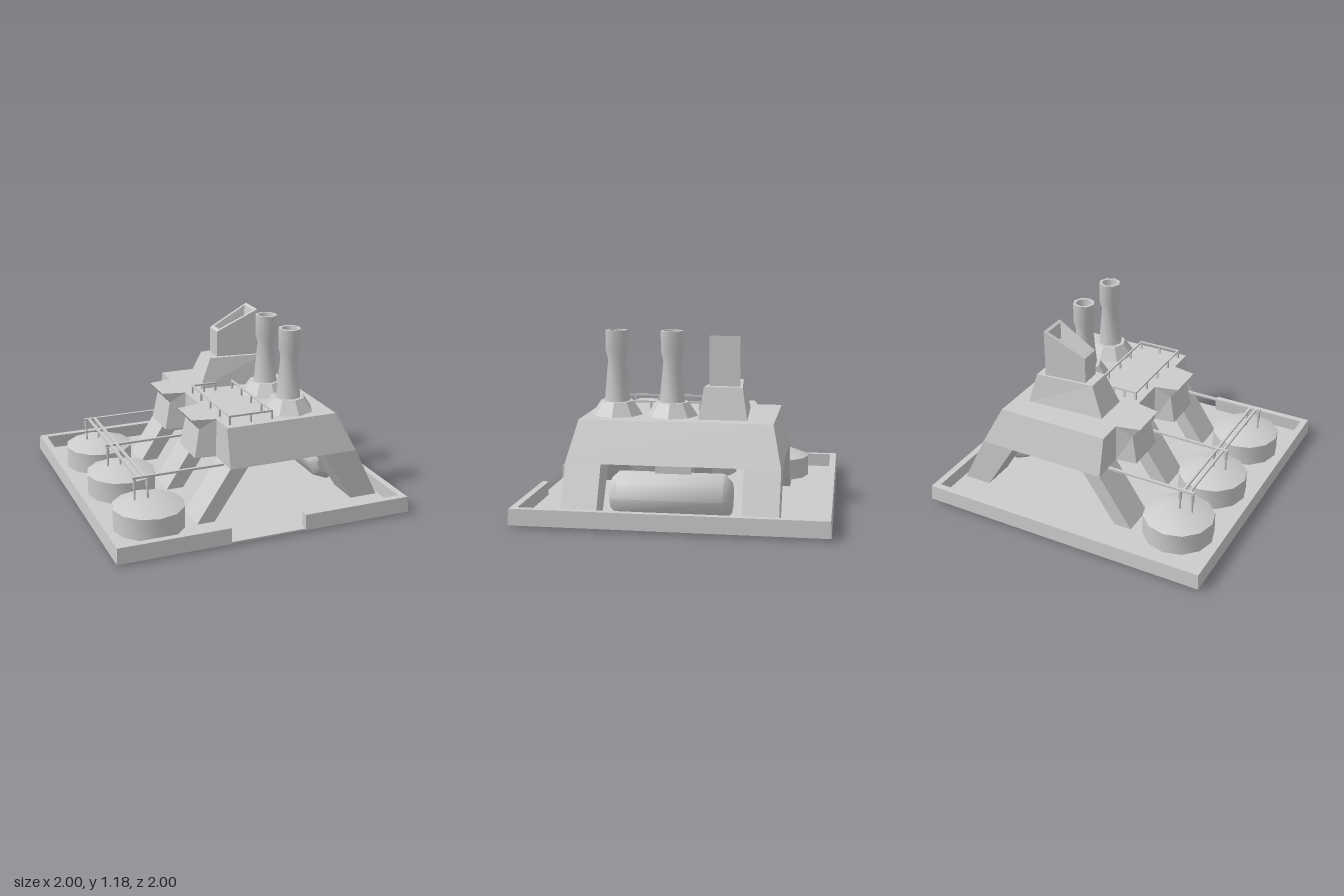
import * as THREE from 'three';
import { toCreasedNormals } from 'three/addons/utils/BufferGeometryUtils.js';

const material = new THREE.MeshStandardMaterial({ color: 0xcccccc });

function add(parent, name, geometry, x = 0, y = 0, z = 0) {
  const mesh = new THREE.Mesh(geometry, material);
  mesh.name = name;
  mesh.position.set(x, y, z);
  parent.add(mesh);
  return mesh;
}

// Box given by its limits
function block(parent, name, x0, x1, y0, y1, z0, z1) {
  return add(parent, name, new THREE.BoxGeometry(x1 - x0, y1 - y0, z1 - z0),
    (x0 + x1) / 2, (y0 + y1) / 2, (z0 + z1) / 2);
}

// Four-cornered section at height y; yR allows a sloping top
function section(x0, x1, [l0, l1], [r0, r1], y, yR = y) {
  return [[x0, y, l1], [x1, yR, r1], [x1, yR, r0], [x0, y, l0]];
}

// Joins sections into a flat-faced closed solid
function loft(rings) {
  const pos = [];
  const quad = (a, b, c, d) => pos.push(...a, ...b, ...c, ...a, ...c, ...d);
  for (let k = 0; k < rings.length - 1; k++) {
    for (let i = 0; i < 4; i++) {
      const j = (i + 1) % 4;
      quad(rings[k][i], rings[k][j], rings[k + 1][j], rings[k + 1][i]);
    }
  }
  quad(...[...rings[0]].reverse());
  quad(...rings[rings.length - 1]);
  const g = new THREE.BufferGeometry();
  g.setAttribute('position', new THREE.Float32BufferAttribute(pos, 3));
  g.computeVertexNormals();
  return g;
}

// Side profile in x,y extruded along z, centred
function slab(points, width) {
  const shape = new THREE.Shape(points.map(p => new THREE.Vector2(...p)));
  return new THREE.ExtrudeGeometry(shape, { depth: width, bevelEnabled: false })
    .translate(0, 0, -width / 2);
}

function turned(points, sides, crease) {
  const g = new THREE.LatheGeometry(points.map(p => new THREE.Vector2(...p)), sides);
  return toCreasedNormals(g, crease);
}

export function createModel() {
  const model = new THREE.Group();
  model.name = 'processingPlant';

  // Floor and low surrounding wall with a front entrance
  block(model, 'floor', -0.99, 0.99, 0.015, 0.025, -0.99, 0.995);
  const plan = [[-0.26, -1], [-1, -1], [-1, 1], [1, 1], [1, -1], [0.25, -1],
    [0.25, -0.955], [0.955, -0.955], [0.955, 0.955], [-0.955, 0.955], [-0.955, -0.955], [-0.26, -0.955]];
  const wall = new THREE.ExtrudeGeometry(new THREE.Shape(plan.map(p => new THREE.Vector2(...p))),
    { depth: 0.105, bevelEnabled: false });
  wall.rotateX(-Math.PI / 2).translate(0, 0.015, 0);
  const wp = wall.attributes.position;
  for (let i = 0; i < wp.count; i++) {
    if (wp.getY(i) > 0.1) wp.setXYZ(i, wp.getX(i) * 0.994, wp.getY(i), wp.getZ(i) * 0.994);
  }
  wall.computeVertexNormals();
  add(model, 'perimeterWall', wall);

  // Raised main hall
  add(model, 'mainHall', loft([
    section(-0.14, 0.765, [-0.68, 0.69], [-0.68, 0.69], 0.37),
    section(-0.14, 0.635, [-0.62, 0.63], [-0.62, 0.63], 0.63)
  ]));

  // Slanted legs
  const leftLeg = [[-0.38, 0.008], [-0.26, 0.008], [-0.016, 0.37], [-0.14, 0.37]];
  const rightLeg = [[0.755, 0.008], [0.945, 0.008], [0.765, 0.37], [0.53, 0.37]];
  for (const z of [-0.565, -0.013, 0.572]) add(model, 'innerLeg', slab(leftLeg, 0.23), 0, 0, z);
  for (const z of [-0.565, 0.572]) add(model, 'outerLeg', slab(rightLeg, 0.23), 0, 0, z);

  // Overhanging bays between the legs, narrowing outwards
  for (const z of [-0.29, 0.282]) {
    const bay = slab([[-0.14, 0.37], [-0.14, 0.63], [-0.3, 0.63], [-0.246, 0.56], [-0.283, 0.37]], 0.325);
    const p = bay.attributes.position;
    for (let i = 0; i < p.count; i++) {
      if (p.getX(i) < -0.2) p.setZ(i, p.getZ(i) * (p.getY(i) > 0.5 ? 0.79 : 0.88));
    }
    bay.computeVertexNormals();
    add(model, 'overhangingBay', bay, 0, 0, z);
  }

  // Chimneys on octagonal footings
  for (const z of [0.062, 0.43]) {
    add(model, 'chimneyFooting', turned([[0.17, 0.63], [0.11, 0.72], [0, 0.72]], 8, 0.4), 0.38, 0, z);
    add(model, 'chimneyStack', turned([[0.085, 0.72], [0.06, 0.99], [0.076, 1.05], [0.076, 1.185],
      [0.055, 1.185], [0.045, 1.0], [0, 1.0]], 8, 0.9), 0.38, 0, z);
  }

  // Wedge-shaped vent with a hollow sloping mouth
  add(model, 'ventBase', loft([
    section(-0.015, 0.53, [-0.415, -0.165], [-0.445, -0.13], 0.63),
    section(0.075, 0.48, [-0.375, -0.2], [-0.41, -0.16], 0.835)
  ]));
  add(model, 'ventHood', loft([
    section(0.135, 0.425, [-0.36, -0.225], [-0.388, -0.187], 0.835),
    section(0.135, 0.425, [-0.36, -0.225], [-0.388, -0.187], 1.015, 1.16),
    section(0.16, 0.405, [-0.338, -0.247], [-0.365, -0.21], 1.028, 1.15),
    section(0.18, 0.39, [-0.32, -0.26], [-0.345, -0.23], 0.95, 1.05)
  ]));

  // Horizontal tank hung under the hall
  const hung = add(model, 'horizontalTank', turned([[0, -0.38], [0.1, -0.38], [0.15, -0.335],
    [0.15, 0.335], [0.1, 0.385], [0, 0.385]], 8, 0.8), 0.74, 0.18, 0.004);
  hung.rotation.x = Math.PI / 2;
  block(model, 'tankBracket', 0.64, 0.76, 0.29, 0.375, -0.12, 0.11);

  // Round storage tanks and their feed pipes
  const tankZ = [-0.555, -0.015, 0.575];
  for (const z of tankZ) {
    add(model, 'storageTank', turned([[0, 0], [0.236, 0], [0.236, 0.17], [0.12, 0.215], [0, 0.215]],
      12, 0.6), -0.657, 0, z);
    block(model, 'feedPipe', -0.76, -0.13, 0.358, 0.372, z - 0.01, z + 0.01);
    for (const x of [-0.747, -0.66]) {
      add(model, 'downPipe', new THREE.CylinderGeometry(0.007, 0.007, 0.17, 6), x, 0.28, z);
      add(model, 'pipeValve', new THREE.CylinderGeometry(0.012, 0.012, 0.06, 6), x, 0.325, z);
    }
  }
  for (const x of [-0.725, -0.682]) {
    block(model, 'linkPipe', x - 0.008, x + 0.008, 0.358, 0.372, tankZ[0], tankZ[2]);
  }

  // Roof railing
  const rail = [[0.07, -0.095], [-0.1, -0.095], [-0.1, 0.572], [0.197, 0.572], [0.197, -0.095]];
  const h = 0.006;
  for (let i = 0; i < rail.length - 1; i++) {
    const [ax, az] = rail[i], [bx, bz] = rail[i + 1];
    block(model, 'handrail', Math.min(ax, bx) - h, Math.max(ax, bx) + h, 0.68, 0.692,
      Math.min(az, bz) - h, Math.max(az, bz) + h);
    const n = Math.abs(bz - az) > 0.4 ? 4 : 2;
    for (let k = i ? 1 : 0; k <= n; k++) {
      const x = ax + (bx - ax) * k / n, z = az + (bz - az) * k / n;
      block(model, 'railPost', x - h, x + h, 0.63, 0.68, z - h, z + h);
    }
  }

  return model;
}
